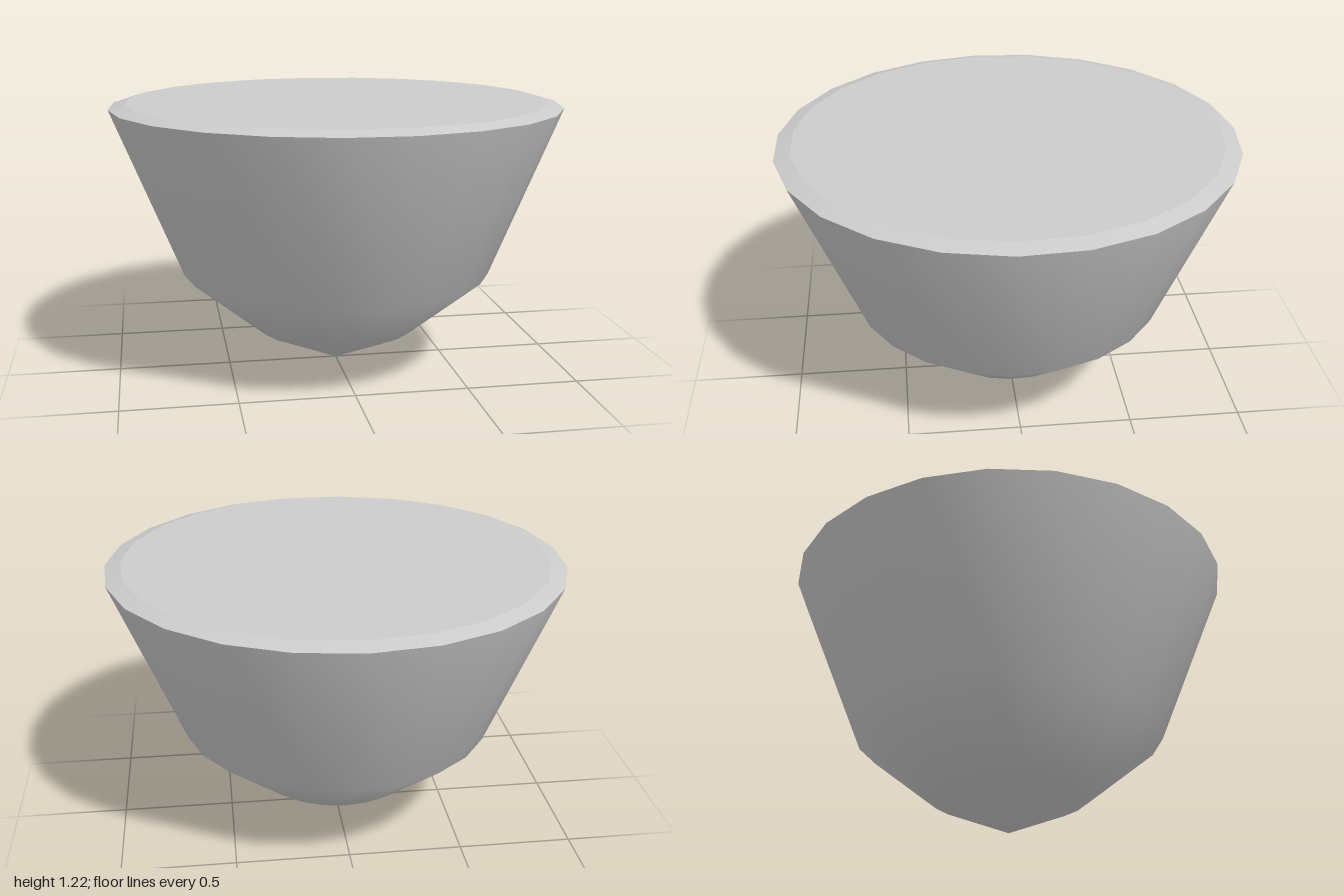
import * as THREE from 'three';

const SIDES = 23;
const material = new THREE.MeshStandardMaterial({ color: 0xcccccc });

// Revolve a profile of [radius, height] pairs, with one corner pointing to the back
function revolve(name, profile) {
  const points = profile.map(([r, y]) => new THREE.Vector2(r, y));
  const mesh = new THREE.Mesh(new THREE.LatheGeometry(points, SIDES, Math.PI), material);
  mesh.name = name;
  return mesh;
}

export function createModel() {
  const model = new THREE.Group();
  model.name = 'taperedBowl';

  // Smooth outer shell, from the pointed base up to the rim
  model.add(revolve('shell', [[0, 0], [0.366, 0.17], [0.698, 0.443], [1.002, 1.197]]));

  // Shallow bevel around the top
  model.add(revolve('rim', [[1.002, 1.197], [0.932, 1.217]]));

  // Flat lid closing the top
  model.add(revolve('lid', [[0.932, 1.217], [0, 1.217]]));

  // An odd number of sides reaches further to the back, so shift to centre it
  model.children.forEach((mesh) => { mesh.position.z = 0.005; });
  return model;
}
